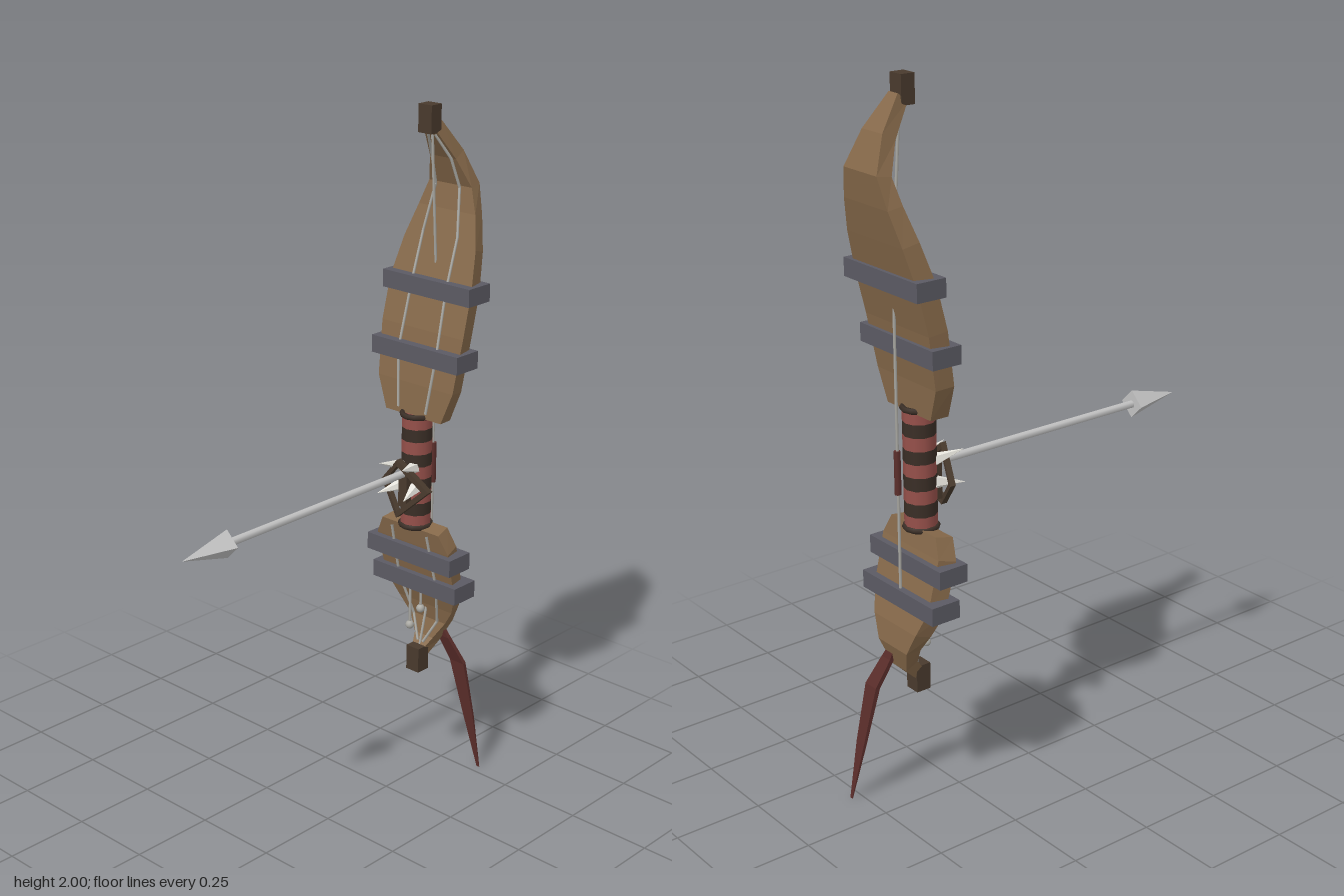
import * as THREE from 'three';

const mat = (name, color) => Object.assign(new THREE.MeshStandardMaterial({ color }), { name });

export function createModel() {
  const wood = mat('wood', 0x86694a), darkWood = mat('dark wood', 0x493a2d);
  const iron = mat('iron', 0x5b5a63), red = mat('red wrap', 0x96504a);
  const dark = mat('dark wrap', 0x3a2e26), steel = mat('steel', 0xc2c2c2);
  const bone = mat('bone', 0xeeece4), tailRed = mat('deep red', 0x5c2e2b);
  const cord = mat('cord', 0xa9a8a2);
  const root = new THREE.Group();
  root.name = 'bow';

  const add = (name, geo, material, x = 0, y = 0, z = 0) => {
    const m = new THREE.Mesh(geo, material);
    m.name = name;
    m.position.set(x, y, z);
    root.add(m);
    return m;
  };
  const box = (name, material, w, h, d, x, y, z) => add(name, new THREE.BoxGeometry(w, h, d), material, x, y, z);
  const faceted = (geo) => {
    const g = geo.toNonIndexed();
    g.computeVertexNormals();
    return g;
  };

  // Faceted blade through rising stations: [y, z, halfWidth, thickness, x]
  const blade = (stations) => {
    const rings = stations.map(([y, z, w, t, x = 0], i) => {
      const a = stations[Math.max(0, i - 1)], b = stations[Math.min(stations.length - 1, i + 1)];
      const len = Math.hypot(b[0] - a[0], b[1] - a[1]);
      const ny = -(b[1] - a[1]) / len * t / 2, nz = (b[0] - a[0]) / len * t / 2;
      return [[x - w, y + ny, z + nz], [x + w, y + ny, z + nz],
        [x + w * 0.92, y - ny, z - nz], [x - w * 0.92, y - ny, z - nz]];
    });
    const pos = [];
    const quad = (a, b, c, d) => pos.push(...a, ...b, ...c, ...a, ...c, ...d);
    for (let i = 0; i < rings.length - 1; i++) {
      for (let k = 0; k < 4; k++) {
        const n = (k + 1) % 4;
        quad(rings[i][k], rings[i][n], rings[i + 1][n], rings[i + 1][k]);
      }
    }
    const lo = rings[0], hi = rings[rings.length - 1];
    quad(lo[3], lo[2], lo[1], lo[0]);
    quad(hi[0], hi[1], hi[2], hi[3]);
    const g = new THREE.BufferGeometry();
    g.setAttribute('position', new THREE.Float32BufferAttribute(pos, 3));
    g.computeVertexNormals();
    return g;
  };

  // Cord made of one straight four-sided rod per segment
  const strand = (name, points, r) => {
    const v = points.map((p) => new THREE.Vector3(...p));
    for (let i = 0; i < v.length - 1; i++) {
      add(name, new THREE.TubeGeometry(new THREE.LineCurve3(v[i], v[i + 1]), 1, r, 6), cord);
    }
  };

  // Limbs
  add('upperLimb', blade([
    [1.14, -0.367, 0.1, 0.05], [1.23, -0.373, 0.135, 0.05], [1.38, -0.398, 0.146, 0.05],
    [1.5, -0.428, 0.145, 0.05], [1.61, -0.461, 0.127, 0.045], [1.70, -0.486, 0.1, 0.04],
    [1.775, -0.499, 0.075, 0.04], [1.86, -0.463, 0.046, 0.04], [1.945, -0.402, 0.02, 0.035],
  ]), wood);
  add('lowerLimb', blade([
    [0.40, -0.392, 0.02, 0.035], [0.435, -0.425, 0.034, 0.04], [0.495, -0.442, 0.068, 0.042],
    [0.55, -0.432, 0.1, 0.045], [0.62, -0.408, 0.13, 0.048], [0.76, -0.373, 0.133, 0.05],
    [0.815, -0.362, 0.105, 0.05],
  ]), wood);

  // Tip blocks
  box('upperTip', darkWood, 0.046, 0.076, 0.04, 0, 1.962, -0.389);
  box('lowerTip', darkWood, 0.046, 0.076, 0.044, 0, 0.383, -0.38);

  // Iron bands around the limbs
  for (const [y, z] of [[1.5, -0.427], [1.32, -0.384], [0.725, -0.374], [0.63, -0.4]]) {
    box('limbBand', iron, 0.31, 0.05, 0.088, 0, y, z);
  }

  // Grip with alternating wrap and end rings
  const gripZ = -0.361, turns = 9, h = 0.33 / turns;
  for (let i = 0; i < turns; i++) {
    add('gripWrap', new THREE.CylinderGeometry(0.044, 0.044, h, 10),
      i % 2 ? dark : red, 0, 0.815 + h * (i + 0.5), gripZ);
  }
  for (const y of [0.815, 1.145]) {
    add('gripRing', new THREE.TorusGeometry(0.043, 0.008, 6, 12), dark, 0, y, gripZ).rotation.x = Math.PI / 2;
  }

  // Bowstring with its wrapped nocking point
  strand('bowstring', [[0, 1.93, -0.4], [0, 1.5, -0.43], [0, 0.6, -0.432], [0, 0.42, -0.39]], 0.004);
  add('nockingWrap', new THREE.CylinderGeometry(0.009, 0.009, 0.12, 8), tailRed, 0, 0.98, -0.432);

  // Thin cords over the front of the limbs, with a slight zigzag
  for (const s of [-1, 1]) {
    const upper = [[1.16, -0.336, 0.05], [1.32, -0.354, 0.062], [1.5, -0.397, 0.062],
      [1.64, -0.441, 0.055], [1.77, -0.468, 0.042], [1.85, -0.44, 0.028], [1.92, -0.397, 0.012]];
    strand('upperCord', upper.map(([y, z, x], i) => [s * (x + (i % 2) * 0.006), y, z]), 0.004);
    strand('lowerCord', [[s * 0.065, 0.8, -0.333], [s * 0.07, 0.63, -0.374],
      [s * 0.045, 0.5, -0.413], [s * 0.01, 0.43, -0.392]], 0.004);
    // Hanging beads
    const x = s * 0.02, y = s > 0 ? 0.55 : 0.485;
    strand('beadCord', [[x, 0.63, -0.367], [x, y, -0.367]], 0.004);
    add('bead', new THREE.IcosahedronGeometry(0.013, 1), cord, x, y, -0.367);
  }

  // Arrow: shaft and four-sided head
  add('arrowShaft', new THREE.CylinderGeometry(0.011, 0.011, 0.72, 8), steel, 0, 0.98, 0.02).rotation.x = Math.PI / 2;
  add('arrowHead', faceted(new THREE.ConeGeometry(0.04, 0.157, 4)), steel, 0, 0.98, 0.4515).rotation.x = Math.PI / 2;

  // Diamond arrow rest, its side corners swept back
  const diamond = (r) => [[r, 0], [0, r], [-r, 0], [0, -r]].map((p) => new THREE.Vector2(...p));
  const frame = new THREE.Shape(diamond(0.087));
  frame.holes.push(new THREE.Path(diamond(0.068)));
  const frameGeo = new THREE.ExtrudeGeometry(frame, { depth: 0.018, bevelEnabled: false });
  const p = frameGeo.attributes.position;
  for (let i = 0; i < p.count; i++) p.setZ(i, p.getZ(i) - Math.abs(p.getX(i)) * 0.4);
  frameGeo.computeVertexNormals();
  add('arrowRest', frameGeo, darkWood, 0, 0.942, -0.295);
  box('restMount', darkWood, 0.03, 0.1, 0.03, 0, 0.93, -0.317);

  // Bone fangs spreading forward inside the rest
  const fangGeo = faceted(new THREE.ConeGeometry(0.019, 0.085, 5));
  for (const s of [-1, 1]) {
    for (const [x, y, tilt] of [[0.036, 0.93, 0.15], [0.03, 1.005, -0.25]]) {
      const fang = add('fang', fangGeo, bone, s * x, y, -0.29);
      fang.rotation.set(Math.PI / 2 + tilt, 0, -s * 0.3);
    }
  }

  // Hanging ribbon tail
  add('tail', blade([
    [0, -0.529, 0.005, 0.002, 0.122], [0.18, -0.507, 0.019, 0.008, 0.096],
    [0.355, -0.483, 0.026, 0.012, 0.07], [0.44, -0.452, 0.02, 0.012, 0.04],
    [0.48, -0.445, 0.014, 0.012, 0.022],
  ]), tailRed);

  return root;
}
